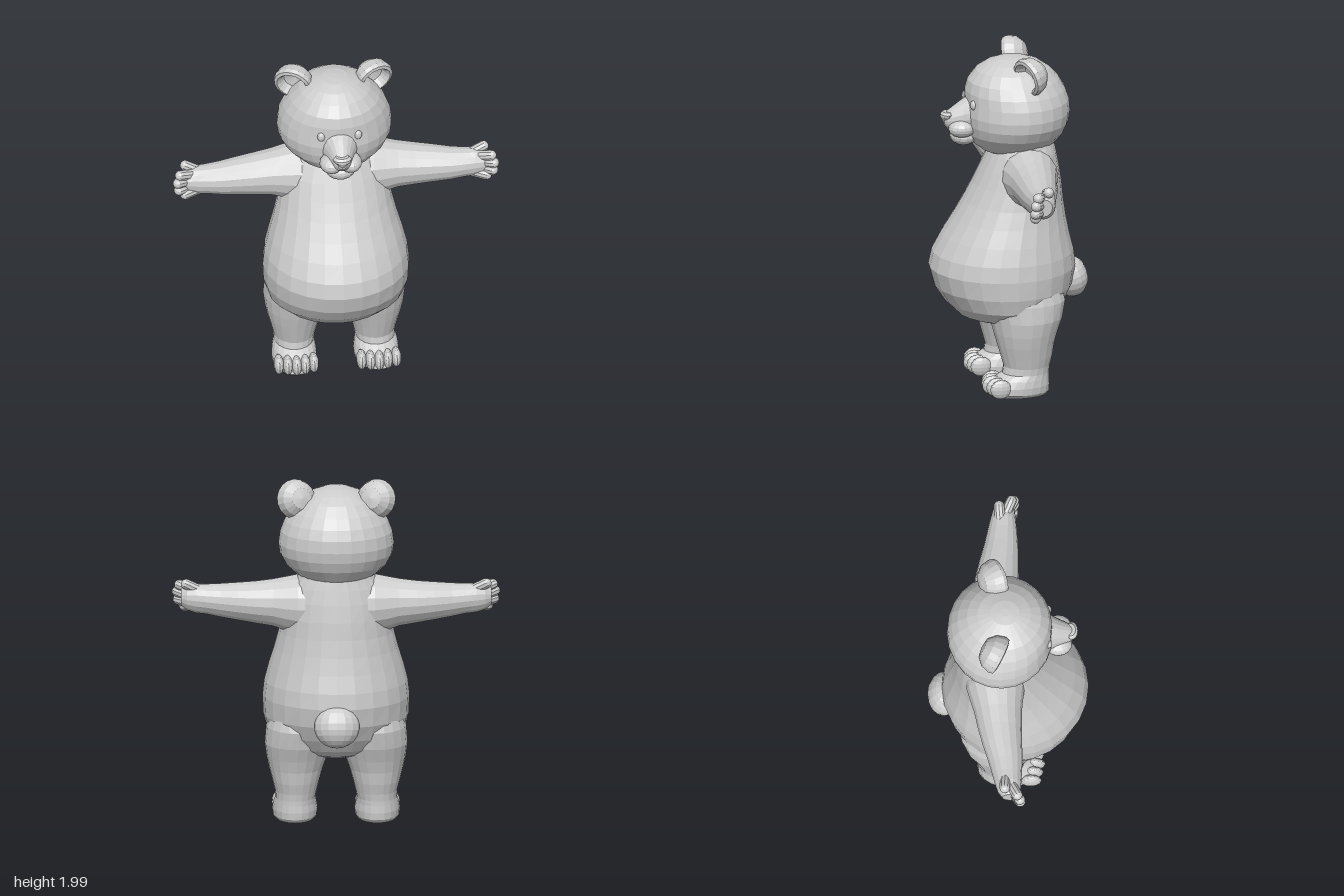
import * as THREE from 'three';

const fur = new THREE.MeshStandardMaterial({ color: 0xcccccc, flatShading: true });
fur.name = 'grey fur';

function mesh(name, geometry, parent) {
  const m = new THREE.Mesh(geometry, fur);
  m.name = name;
  parent.add(m);
  return m;
}

// Skin elliptical rings [t, a0, a1, b0, b1] along an axis; (a, b) is (z,x) for y, (y,z) for x, (x,y) for z.
function loft(axis, rings, n = 24) {
  const pos = [], idx = [];
  const put = (t, a, b) => pos.push(...(axis === 'y' ? [b, t, a] : axis === 'x' ? [t, a, b] : [a, b, t]));
  rings.forEach(([t, a0, a1, b0, b1]) => {
    for (let j = 0; j < n; j++) {
      const w = (j / n) * Math.PI * 2;
      put(t, (a0 + a1) / 2 + Math.cos(w) * (a1 - a0) / 2, (b0 + b1) / 2 + Math.sin(w) * (b1 - b0) / 2);
    }
  });
  const last = rings.length - 1, base = n * rings.length;
  for (const r of [rings[0], rings[last]]) put(r[0], (r[1] + r[2]) / 2, (r[3] + r[4]) / 2);
  for (let j = 0; j < n; j++) {
    const k = (j + 1) % n;
    for (let i = 0; i < last; i++) {
      const p = i * n, q = p + n;
      idx.push(p + j, p + k, q + k, p + j, q + k, q + j);
    }
    idx.push(base, k, j, base + 1, last * n + j, last * n + k);
  }
  const g = new THREE.BufferGeometry();
  g.setAttribute('position', new THREE.Float32BufferAttribute(pos, 3));
  g.setIndex(idx);
  g.computeVertexNormals();
  return g;
}

function blob(name, parent, c, r, seg = 14) {
  const m = mesh(name, new THREE.SphereGeometry(1, seg, Math.round(seg * 0.7)), parent);
  m.position.set(...c);
  m.scale.set(...r);
  return m;
}

// Rounded finger or toe between two points
function digit(name, parent, from, to, radius) {
  const a = new THREE.Vector3(...from), b = new THREE.Vector3(...to), d = b.clone().sub(a);
  const m = mesh(name, new THREE.CapsuleGeometry(radius, d.length(), 4, 10), parent);
  m.position.copy(a).add(b).multiplyScalar(0.5);
  m.quaternion.setFromUnitVectors(new THREE.Vector3(0, 1, 0), d.normalize());
  return m;
}

function buildSide() {
  const side = new THREE.Group();

  // Ear: cupped bowl with a rolled rim, leaning forward and turned outward
  const cup = [[0, -0.1], [0.06, -0.09], [0.1, -0.052], [0.115, 0], [0.108, 0.022], [0.09, 0.028],
    [0.076, 0.012], [0.064, -0.025], [0, -0.045]].map(p => new THREE.Vector2(...p));
  const ear = mesh('ear', new THREE.LatheGeometry(cup, 18).rotateX(Math.PI / 2), side);
  ear.position.set(0.232, 1.877, -0.065);
  ear.rotation.set(0.25, 0.42, 0, 'YXZ');

  blob('eye', side, [0.105, 1.692, 0.228], [0.024, 0.029, 0.022], 12);

  // Arm, tapering into the palm
  mesh('arm', loft('x', [
    [0.1, 1.09, 1.44, -0.25, 0.1], [0.22, 1.09, 1.44, -0.24, 0.09], [0.29, 1.11, 1.425, -0.22, 0.08],
    [0.36, 1.135, 1.41, -0.2, 0.072], [0.46, 1.15, 1.395, -0.18, 0.07], [0.56, 1.165, 1.385, -0.155, 0.07],
    [0.66, 1.18, 1.375, -0.125, 0.07], [0.74, 1.195, 1.37, -0.105, 0.065], [0.8, 1.2, 1.37, -0.09, 0.06],
    [0.85, 1.215, 1.36, -0.075, 0.055], [0.885, 1.24, 1.34, -0.05, 0.045]], 16), side);
  [[[0.79, 1.34, -0.03], [0.855, 1.372, -0.035]], [[0.82, 1.33, 0], [0.892, 1.352, 0.035]],
    [[0.83, 1.29, 0], [0.906, 1.31, 0.05]], [[0.83, 1.255, 0], [0.9, 1.263, 0.052]],
    [[0.79, 1.235, 0.01], [0.865, 1.228, 0.045]]]
    .forEach(([a, b], i) => digit('finger' + (i + 1), side, a, b, 0.031));

  // Leg and flat-soled foot
  mesh('leg', loft('y', [
    [0, -0.165, 0.165, 0.125, 0.345], [0.02, -0.18, 0.185, 0.108, 0.362], [0.06, -0.183, 0.175, 0.105, 0.365],
    [0.1, -0.18, 0.14, 0.112, 0.358], [0.13, -0.18, 0.09, 0.118, 0.348], [0.17, -0.185, 0.083, 0.11, 0.35],
    [0.23, -0.2, 0.1, 0.095, 0.365], [0.3, -0.21, 0.12, 0.075, 0.383], [0.37, -0.23, 0.14, 0.05, 0.398],
    [0.45, -0.26, 0.16, 0.03, 0.408], [0.55, -0.28, 0.2, 0.03, 0.4], [0.65, -0.25, 0.18, 0.06, 0.37]], 20), side);
  for (let i = 0; i < 5; i++) {
    const x = 0.137 + i * 0.05, z = 0.15 - Math.abs(i - 1.8) * 0.012;
    blob('toe' + (i + 1), side, [x, 0.06, z], [0.029, 0.057, 0.062], 12);
  }

  // Muzzle cheek
  blob('muzzleCheek', side, [0.055, 1.545, 0.285], [0.067, 0.052, 0.08]);
  return side;
}

export function createModel() {
  const bear = new THREE.Group();
  bear.name = 'bear';

  // Pear-shaped torso
  mesh('torso', loft('y', [
    [0.365, -0.1, 0.08, -0.1, 0.1], [0.4, -0.21, 0.18, -0.23, 0.23], [0.44, -0.27, 0.3, -0.32, 0.32],
    [0.51, -0.315, 0.37, -0.39, 0.39], [0.6, -0.36, 0.43, -0.415, 0.415], [0.71, -0.38, 0.46, -0.42, 0.42],
    [0.8, -0.37, 0.44, -0.41, 0.41], [0.9, -0.345, 0.385, -0.385, 0.385], [1, -0.325, 0.32, -0.355, 0.355],
    [1.1, -0.31, 0.26, -0.33, 0.33], [1.2, -0.3, 0.205, -0.315, 0.315], [1.3, -0.285, 0.155, -0.295, 0.295],
    [1.38, -0.27, 0.115, -0.26, 0.26], [1.43, -0.26, 0.09, -0.225, 0.225], [1.5, -0.24, 0.08, -0.2, 0.2]]), bear);

  // Head, fullest at the cheeks
  mesh('head', loft('y', [
    [1.375, -0.12, 0.1, -0.09, 0.09], [1.4, -0.21, 0.155, -0.16, 0.16], [1.44, -0.27, 0.205, -0.225, 0.225],
    [1.5, -0.315, 0.24, -0.29, 0.29], [1.56, -0.34, 0.255, -0.322, 0.322], [1.62, -0.35, 0.26, -0.33, 0.33],
    [1.69, -0.345, 0.252, -0.32, 0.32], [1.75, -0.325, 0.25, -0.297, 0.297], [1.81, -0.29, 0.235, -0.26, 0.26],
    [1.87, -0.235, 0.19, -0.205, 0.205], [1.91, -0.175, 0.13, -0.145, 0.145], [1.935, -0.1, 0.065, -0.075, 0.075],
    [1.942, -0.04, 0.01, -0.025, 0.025]]), bear);

  // Muzzle bridge, chin and nose
  mesh('muzzle', loft('z', [
    [0.15, -0.13, 0.13, 1.47, 1.75], [0.23, -0.105, 0.105, 1.49, 1.725], [0.28, -0.08, 0.08, 1.5, 1.695],
    [0.33, -0.06, 0.06, 1.52, 1.66], [0.365, -0.045, 0.045, 1.54, 1.635], [0.38, -0.025, 0.025, 1.56, 1.615]], 18), bear);
  blob('chin', bear, [0, 1.487, 0.265], [0.085, 0.053, 0.078]);
  mesh('nose', loft('y', [
    [1.565, 0.33, 0.378, -0.01, 0.01], [1.585, 0.33, 0.39, -0.025, 0.025], [1.608, 0.33, 0.4, -0.05, 0.05],
    [1.622, 0.33, 0.398, -0.054, 0.054], [1.635, 0.33, 0.385, -0.038, 0.038]], 14), bear);

  // Round tail
  blob('tail', bear, [0, 0.61, -0.36], [0.13, 0.122, 0.1], 16).rotation.x = 0.25;

  // Paired parts, mirrored
  const left = buildSide();
  left.name = 'leftSide';
  const right = buildSide();
  right.name = 'rightSide';
  right.scale.x = -1;
  bear.add(left, right);
  return bear;
}
